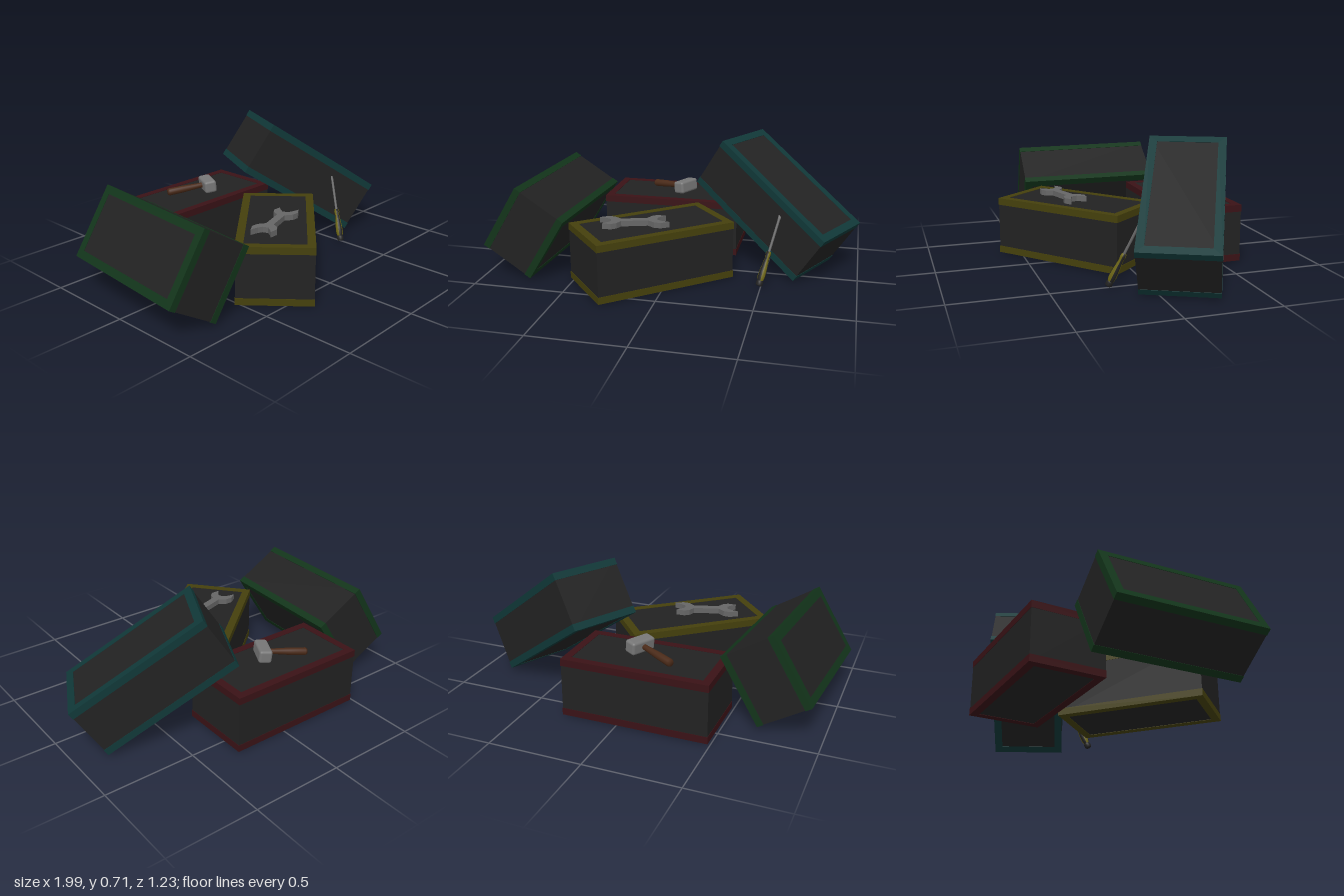
import * as THREE from 'three';
import { RoundedBoxGeometry } from 'three/addons/geometries/RoundedBoxGeometry.js';

const L = 0.79, H = 0.316, D = 0.4; // toolbox length, height, depth
const V = (x, y, z) => new THREE.Vector3(x, y, z);
const mat = (color, opts = {}) => new THREE.MeshStandardMaterial({ color, ...opts });
const black = mat(0x222222), steel = mat(0x666666), wood = mat(0x4a2a18);

function add(parent, name, geometry, material) {
  const mesh = new THREE.Mesh(geometry, material);
  mesh.name = name;
  parent.add(mesh);
  return mesh;
}

// Place a group so its local x and z follow the given directions
function orient(group, center, xDir, zDir) {
  const x = xDir.clone().normalize();
  const y = zDir.clone().cross(x).normalize();
  const z = x.clone().cross(y);
  group.quaternion.setFromRotationMatrix(new THREE.Matrix4().makeBasis(x, y, z));
  group.position.copy(center);
}

function rect(w, d, Type) {
  return new Type([[-w, -d], [w, -d], [w, d], [-w, d]].map(([a, b]) => new THREE.Vector2(a / 2, b / 2)));
}

// Dark case with a coloured rim around the top and the bottom
function createCase(name, color) {
  const box = new THREE.Group();
  box.name = name;
  add(box, 'caseBody', new THREE.BoxGeometry(L - 0.004, H - 0.004, D - 0.004), black);
  const shape = rect(L, D, THREE.Shape);
  shape.holes.push(rect(L - 0.085, D - 0.085, THREE.Path));
  const rim = new THREE.ExtrudeGeometry(shape, { depth: 0.038, bevelEnabled: false });
  rim.translate(0, 0, H / 2 - 0.038);
  const rimMat = mat(color);
  for (const side of [-1, 1]) {
    add(box, side > 0 ? 'topRim' : 'bottomRim', rim, rimMat).rotation.x = -side * Math.PI / 2;
  }
  return box;
}

// Double open-ended wrench lying flat
function createWrench() {
  const half = [[-0.07, -0.021], [0.07, -0.021], [0.1, -0.058], [0.135, -0.07], [0.182, -0.056],
    [0.142, -0.034], [0.122, -0.016], [0.122, 0.014], [0.14, 0.03], [0.17, 0.05],
    [0.125, 0.064], [0.095, 0.052], [0.07, 0.021]];
  const points = [...half.slice(1), ...half.slice(1).map(([x, y]) => [-x, -y])];
  const shape = new THREE.Shape(points.map(([x, y]) => new THREE.Vector2(x, y)));
  const geo = new THREE.ExtrudeGeometry(shape, { depth: 0.03, bevelEnabled: false });
  geo.rotateX(-Math.PI / 2);
  const wrench = new THREE.Group();
  wrench.name = 'wrench';
  add(wrench, 'wrenchBody', geo, steel);
  return wrench;
}

// Hammer: handle along x, head along z
function createHammer() {
  const hammer = new THREE.Group();
  hammer.name = 'hammer';
  add(hammer, 'hammerHead', new RoundedBoxGeometry(0.07, 0.07, 0.145, 3, 0.014), mat(0x777777));
  const profile = [[0, -0.24], [0.016, -0.24], [0.021, -0.23], [0.02, -0.15], [0.015, -0.06], [0.015, 0.03], [0, 0.03]];
  const handle = new THREE.LatheGeometry(profile.map(([r, y]) => new THREE.Vector2(r, y)), 16);
  handle.rotateZ(-Math.PI / 2);
  add(hammer, 'hammerHandle', handle, wood);
  return hammer;
}

// Screwdriver standing on its handle, along y
function createScrewdriver() {
  const tool = new THREE.Group();
  tool.name = 'screwdriver';
  const lathe = (pts, start = 0, sweep = Math.PI * 2) =>
    new THREE.LatheGeometry(pts.map(([r, y]) => new THREE.Vector2(r, y)), sweep < 2 ? 4 : 20, start, sweep);
  add(tool, 'handleCap', lathe([[0, 0], [0.014, 0], [0.019, 0.006], [0.019, 0.024], [0.016, 0.03]]), black);
  const grip = [[0.016, 0.03], [0.021, 0.05], [0.02, 0.08], [0.015, 0.13], [0.012, 0.155], [0.016, 0.175], [0.012, 0.19], [0, 0.191]];
  const yellow = mat(0x6b6414);
  // Alternating grip strips
  for (let i = 0; i < 6; i++) {
    add(tool, 'gripStrip', lathe(grip, i * Math.PI / 3, Math.PI / 3), i % 2 ? black : yellow);
  }
  const shaft = add(tool, 'shaft', new THREE.CylinderGeometry(0.007, 0.007, 0.18, 12), steel);
  shaft.position.y = 0.275;
  // Flat blade: flared, then thinned towards the tip
  const bladeGeo = new THREE.CylinderGeometry(0.01, 0.007, 0.035, 12, 3);
  const p = bladeGeo.attributes.position;
  for (let i = 0; i < p.count; i++) {
    const t = p.getY(i) / 0.035 + 0.5;
    p.setZ(i, p.getZ(i) * (1 - 0.8 * t));
  }
  bladeGeo.computeVertexNormals();
  add(tool, 'blade', bladeGeo, steel).position.y = 0.3825;
  return tool;
}

export function createModel() {
  const model = new THREE.Group();
  model.name = 'toolboxPile';

  // Two cases lie flat, two lean at an angle
  const cases = [
    ['yellowCase', 0x45400c, V(-0.095, 0.167, 0.205), V(0.6, 0, -0.51), V(0.255, 0, 0.3)],
    ['redCase', 0x3a1216, V(-0.0925, 0.167, -0.42), V(1, 0, 0), V(0, 0, 1)],
    ['greenCase', 0x12341a, V(-0.731, 0.274, -0.007), V(0.058, 0.012, -0.79), V(0.21, 0.34, 0.02)],
    ['tealCase', 0x103838, V(0.534, 0.366, -0.184), V(0.59, -0.44, 0.29), V(-0.18, 0, 0.36)],
  ];
  for (const [name, color, center, xDir, zDir] of cases) {
    const box = createCase(name, color);
    orient(box, center, xDir, zDir);
    model.add(box);
  }

  const wrench = createWrench();
  orient(wrench, V(-0.172, 0.325, 0.263), V(0.59, 0, -0.19), V(0.19, 0, 0.59));
  model.add(wrench);

  const hammer = createHammer();
  orient(hammer, V(-0.037, 0.367, -0.388), V(0.213, 0.024, 0.108), V(-0.108, 0, 0.213));
  model.add(hammer);

  const screwdriver = createScrewdriver();
  screwdriver.position.set(0.49, 0.012, 0.2);
  screwdriver.quaternion.setFromUnitVectors(V(0, 1, 0), V(0.087, 0.36, -0.15).normalize());
  model.add(screwdriver);

  return model;
}
